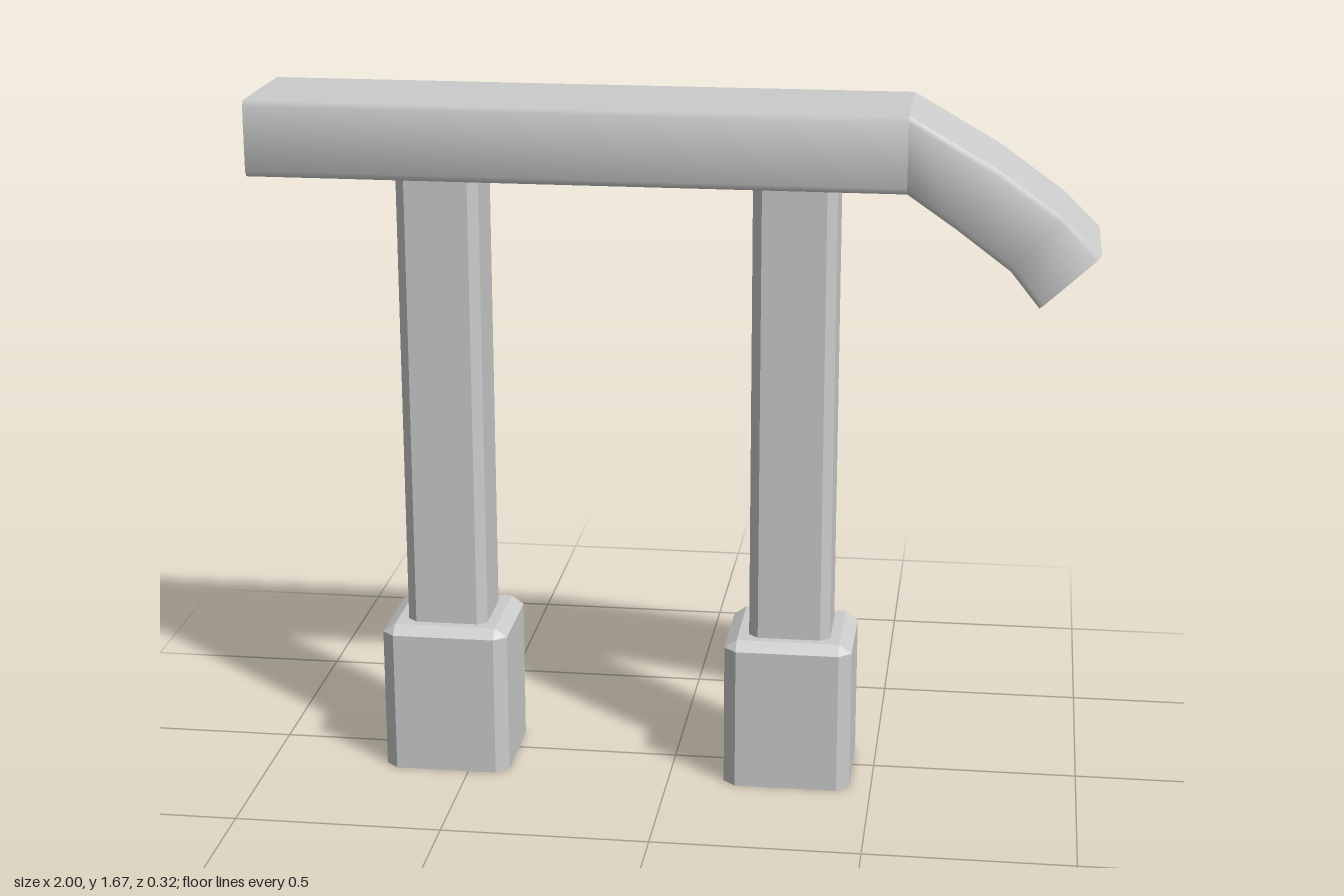
import * as THREE from 'three';
import { mergeGeometries, toCreasedNormals } from 'three/addons/utils/BufferGeometryUtils.js';

const grey = new THREE.MeshStandardMaterial({ color: 0xcccccc });
const greyFlat = new THREE.MeshStandardMaterial({ color: 0xcccccc, flatShading: true });

function polygons(points, index) {
  const g = new THREE.BufferGeometry();
  g.setAttribute('position', new THREE.Float32BufferAttribute(points.flat(), 3));
  g.setIndex(index);
  const faceted = g.toNonIndexed();
  faceted.computeVertexNormals();
  return faceted;
}

// Skin joining closed rings, each counter-clockwise seen from the last ring's end
function skin(rings) {
  const n = rings[0].length, index = [];
  for (let i = 0; i < rings.length - 1; i++) {
    for (let j = 0; j < n; j++) {
      const a = i * n + j, b = i * n + (j + 1) % n, c = a + n, d = b + n;
      index.push(a, b, d, a, d, c);
    }
  }
  return polygons(rings.flat(), index);
}

// Flat end faces closing the first and last ring
function caps(rings) {
  const index = [];
  for (let i = 1; i < rings[0].length - 1; i++) index.push(0, i, i + 1);
  return [polygons(rings[0].slice().reverse(), index), polygons(rings.at(-1), index)];
}

// Rectangle with cut corners at height y
function octagon(w, d, cx, cz, y) {
  return [
    [-w + cx, y, d], [w - cx, y, d], [w, y, d - cz], [w, y, -d + cz],
    [w - cx, y, -d], [-w + cx, y, -d], [-w, y, -d + cz], [-w, y, d - cz],
  ];
}

// Upright faceted solid through rings listed from the bottom up
const stack = (rings) => mergeGeometries([skin(rings), ...caps(rings)]);

// Rail: a bar with softened sides that bends down at its left end
function railGeometry() {
  // top and bottom edge of each cross-section: [xTop, yTop, xBottom, yBottom]
  const stations = [
    [-1, 1.675, -1, 1.494],
    [0.553, 1.675, 0.553, 1.494],
    [0.76, 1.556, 0.668, 1.415],
    [0.91, 1.449, 0.795, 1.32],
    [1, 1.362, 0.863, 1.235],
  ];
  // section loop: z and share of the way from top to bottom
  const zf = 0.158, zb = -0.162, b = 0.008, e = 0.08;
  const section = [
    [zf - b, 0], [zf, e], [zf, 1 - e], [zf - b, 1],
    [zb + b, 1], [zb, 1 - e], [zb, e], [zb + b, 0],
  ];
  const rings = stations.map(([xt, yt, xb, yb]) =>
    section.map(([z, t]) => [xt + (xb - xt) * t, yt + (yb - yt) * t, z]));
  // straight and bent runs are smoothed apart, leaving a crease between them
  const runs = [rings.slice(0, 2), rings.slice(1)];
  return mergeGeometries([
    ...runs.map((run) => toCreasedNormals(skin(run), Math.PI / 4)),
    ...caps(rings),
  ]);
}

function mesh(name, geometry, material) {
  const m = new THREE.Mesh(geometry, material);
  m.name = name;
  return m;
}

export function createModel() {
  const model = new THREE.Group();
  model.name = 'handrail';
  model.add(mesh('rail', railGeometry(), grey));

  // Posts with bevelled footings
  const post = stack([
    octagon(0.099, 0.093, 0.023, 0.021, 0.36),
    octagon(0.099, 0.093, 0.023, 0.021, 1.5),
  ]);
  const footing = stack([
    octagon(0.155, 0.142, 0.03, 0.027, 0),
    octagon(0.155, 0.142, 0.03, 0.027, 0.353),
    octagon(0.125, 0.115, 0, 0, 0.374),
  ]);
  for (const [side, x] of [['right', -0.556], ['left', 0.292]]) {
    const support = new THREE.Group();
    support.name = side + 'Support';
    support.add(mesh('post', post, greyFlat), mesh('footing', footing, greyFlat));
    support.position.set(x, 0, 0.02);
    model.add(support);
  }
  return model;
}
